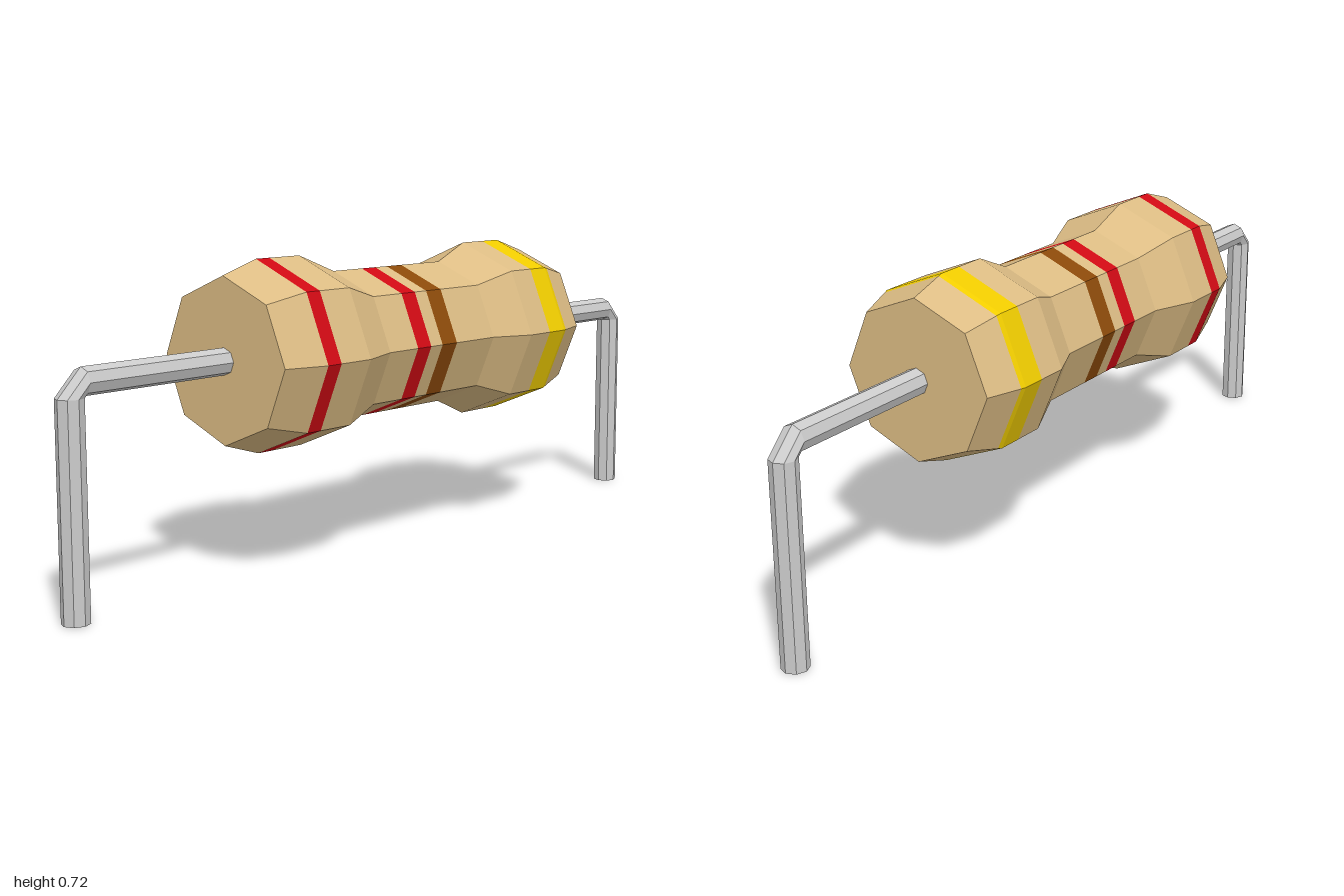
import * as THREE from 'three';

const SIDES = 8;
const AXIS_Y = 0.502;

// Body outline: [x, radius] along the axis
const PROFILE = [
  [-0.542, 0.19], [-0.44, 0.221], [-0.302, 0.221], [-0.187, 0.178],
  [0.2, 0.178], [0.299, 0.221], [0.44, 0.221], [0.54, 0.19],
];

const TAN = 0xdcbc84, RED = 0xd00a14, BROWN = 0x8c4a0a, YELLOW = 0xf0cc00;

// Painted sections from one end to the other: [name, start, end, color]
const SECTIONS = [
  ['bodyEndRight', -0.542, -0.44, TAN],
  ['outerRedBand', -0.44, -0.398, RED],
  ['bodyRight', -0.398, -0.088, TAN],
  ['innerRedBand', -0.088, -0.04, RED],
  ['bodyMiddle', -0.04, 0.002, TAN],
  ['brownBand', 0.002, 0.056, BROWN],
  ['bodyLeft', 0.056, 0.378, TAN],
  ['yellowBand', 0.378, 0.452, YELLOW],
  ['bodyEndLeft', 0.452, 0.54, TAN],
];

const paint = (color) => new THREE.MeshStandardMaterial({ color, flatShading: true });

function radiusAt(x) {
  for (let i = 1; i < PROFILE.length; i++) {
    const [x0, r0] = PROFILE[i - 1], [x1, r1] = PROFILE[i];
    if (x <= x1) return r0 + (r1 - r0) * (x - x0) / (x1 - x0);
  }
  return PROFILE[PROFILE.length - 1][1];
}

// One faceted slice of the body, closed where it meets an end of the profile
function bodySection(name, start, end, color) {
  const pts = [new THREE.Vector2(radiusAt(start), start)];
  for (const [x, r] of PROFILE) {
    if (x > start + 1e-4 && x < end - 1e-4) pts.push(new THREE.Vector2(r, x));
  }
  pts.push(new THREE.Vector2(radiusAt(end), end));
  if (start === PROFILE[0][0]) pts.unshift(new THREE.Vector2(0, start));
  if (end === PROFILE[PROFILE.length - 1][0]) pts.push(new THREE.Vector2(0, end));
  const geo = new THREE.LatheGeometry(pts, SIDES);
  geo.rotateZ(-Math.PI / 2);
  const mesh = new THREE.Mesh(geo, paint(color));
  mesh.name = name;
  mesh.position.y = AXIS_Y;
  return mesh;
}

// Bent wire: rings of [centre x, centre y, outward x, outward y]; the two
// bend rings share their inner corner, leaving a chamfer outside
function wireGeometry() {
  const r = 0.031, legX = 0.969, bend = legX - r;
  const rings = [
    [legX, 0, 1, 0], [legX, AXIS_Y - r, 1, 0],
    [bend, AXIS_Y, 0, 1], [0.52, AXIS_Y, 0, 1],
  ];
  const pos = [], index = [];
  for (const [cx, cy, ux, uy] of rings) {
    for (let j = 0; j < SIDES; j++) {
      const a = j / SIDES * Math.PI * 2, u = r * Math.cos(a);
      pos.push(cx + ux * u, cy + uy * u, r * Math.sin(a));
    }
  }
  for (let i = 0; i < rings.length - 1; i++) {
    for (let j = 0; j < SIDES; j++) {
      const a = i * SIDES + j, b = i * SIDES + (j + 1) % SIDES;
      index.push(a, a + SIDES, b, b, a + SIDES, b + SIDES);
    }
  }
  // Foot cap
  for (let j = 1; j < SIDES - 1; j++) index.push(0, j, j + 1);
  const geo = new THREE.BufferGeometry();
  geo.setAttribute('position', new THREE.Float32BufferAttribute(pos, 3));
  geo.setIndex(index);
  geo.computeVertexNormals();
  return geo;
}

export function createModel() {
  const model = new THREE.Group();
  model.name = 'resistor';

  const body = new THREE.Group();
  body.name = 'body';
  for (const section of SECTIONS) body.add(bodySection(...section));
  model.add(body);

  // The same wire turned half round serves the other end
  const geo = wireGeometry();
  const metal = paint(0xcccccc);
  ['leftWire', 'rightWire'].forEach((name, i) => {
    const wire = new THREE.Mesh(geo, metal);
    wire.name = name;
    wire.rotation.y = i * Math.PI;
    model.add(wire);
  });
  return model;
}
